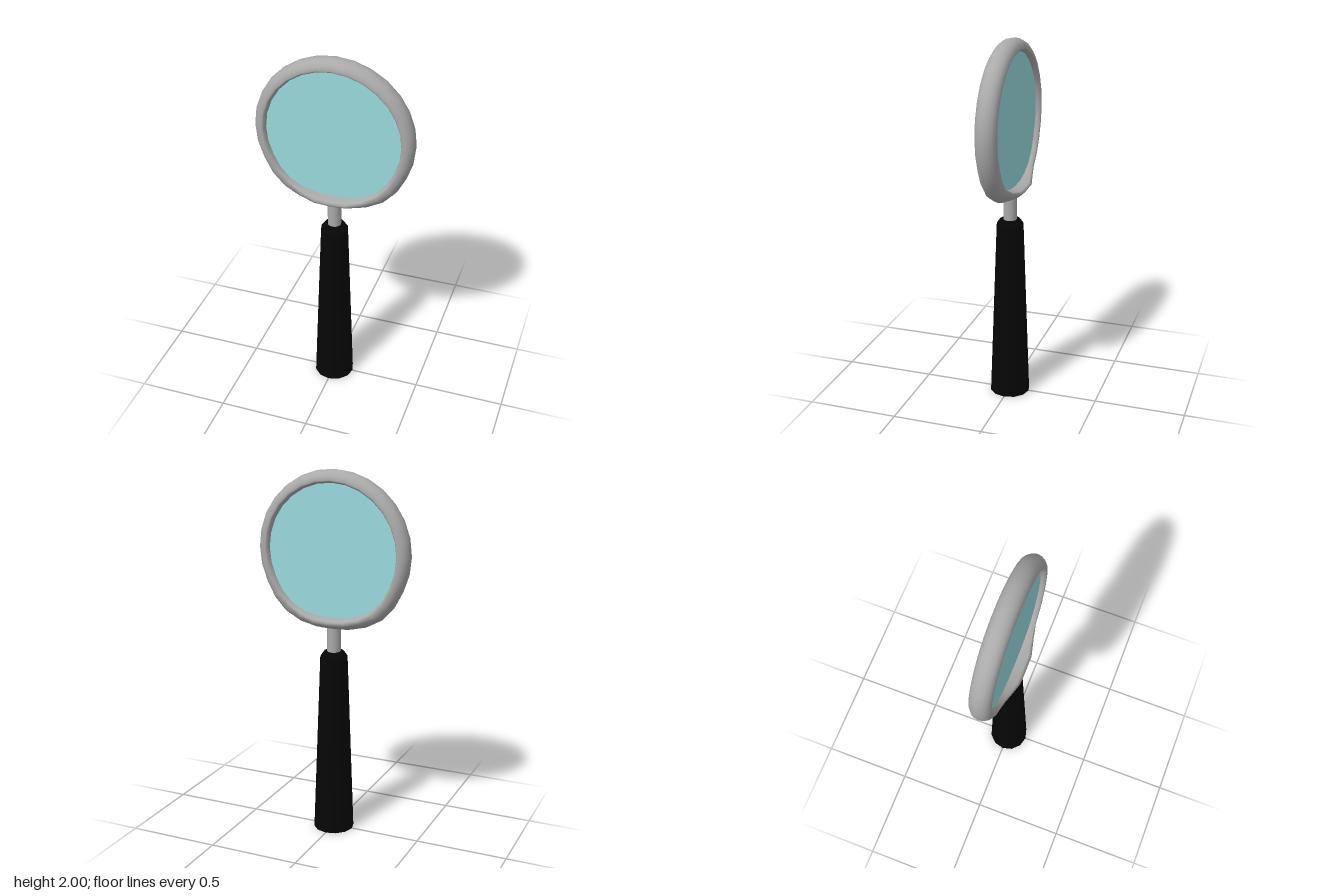
import * as THREE from 'three';
import { mergeVertices } from 'three/addons/utils/BufferGeometryUtils.js';

const SEGMENTS = 28;
const CENTRE_Y = 1.571;
const HALF_DEPTH = 0.058;

// Rounded rim swept round the lens axis, fuller at the lower sides and flared above the neck.
function rimGeometry() {
  const profile = [];
  for (let i = 0; i <= 16; i++) {
    const t = -Math.PI / 2 + (Math.PI * i) / 8;
    const width = Math.cos(t) > 0 ? 0.052 : 0.019;
    profile.push(new THREE.Vector2(0.378 + width * Math.cos(t), HALF_DEPTH * Math.sin(t)));
  }
  const swept = new THREE.LatheGeometry(profile, SEGMENTS).rotateX(Math.PI / 2);
  swept.deleteAttribute('uv');
  swept.deleteAttribute('normal');
  const geometry = mergeVertices(swept);
  const p = geometry.attributes.position;
  for (let i = 0; i < p.count; i++) {
    const [x, y, z] = [p.getX(i), p.getY(i), p.getZ(i)];
    const angle = Math.abs(Math.atan2(x, -y));
    const bulge = angle < 1.07 ? 1 - 0.025 * Math.cos(4.4 * angle) : 1;
    const flare = 0.64 * THREE.MathUtils.clamp((0.62 - angle) / 0.4, 0, 1);
    const edge = Math.pow(Math.abs(z) / HALF_DEPTH, 4);
    p.setXYZ(i, x * bulge, y * bulge, z * (1 + flare * edge));
  }
  geometry.computeVertexNormals();
  return geometry;
}

export function createModel() {
  const group = new THREE.Group();
  const grey = new THREE.MeshStandardMaterial({ color: 0xaaaaaa });
  const black = new THREE.MeshStandardMaterial({ color: 0x060606 });
  const teal = new THREE.MeshStandardMaterial({ color: 0x9adadd });

  const add = (name, geometry, material, y) => {
    const mesh = new THREE.Mesh(geometry, material);
    mesh.name = name;
    mesh.position.y = y;
    group.add(mesh);
  };

  add('rim', rimGeometry(), grey, CENTRE_Y);

  // Lens filling the rim, slightly recessed on both faces
  add('lens', new THREE.CylinderGeometry(0.374, 0.374, 0.06, SEGMENTS).rotateX(Math.PI / 2), teal, CENTRE_Y);

  // Neck joining rim and handle
  add('neck', new THREE.CylinderGeometry(0.037, 0.037, 0.18, 12), grey, 1.09);

  // Tapered handle with a bevelled top
  add('handle', new THREE.CylinderGeometry(0.074, 0.111, 1.0, 12), black, 0.5);
  add('handleBevel', new THREE.CylinderGeometry(0.055, 0.074, 0.028, 12), black, 1.014);

  return group;
}
